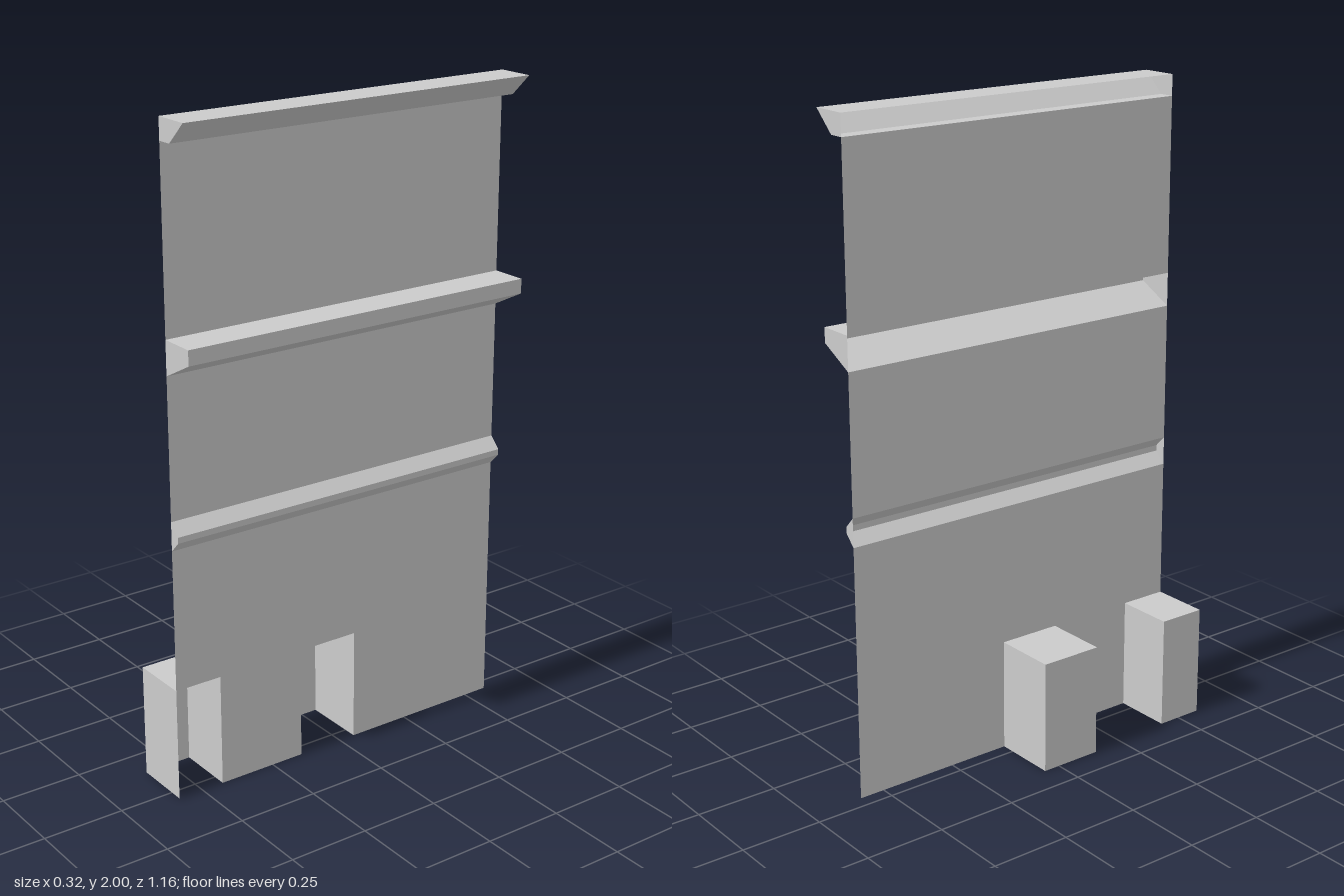
import * as THREE from 'three';

const material = new THREE.MeshStandardMaterial({ color: 0xcccccc, side: THREE.DoubleSide, flatShading: true });
const WALL_X = 0.042, HALF = 0.58, DOOR_TOP = 0.35;

function addMesh(parent, geometry, name) {
  const mesh = new THREE.Mesh(geometry, material);
  mesh.name = name;
  parent.add(mesh);
  return mesh;
}

// Open sheet: sweeps a downward [x, y] profile along z
function sheet(profile, z0, z1) {
  const pos = [];
  for (let i = 0; i < profile.length - 1; i++) {
    const [ax, ay] = profile[i], [bx, by] = profile[i + 1];
    pos.push(ax, ay, z0, ax, ay, z1, bx, by, z1);
    pos.push(ax, ay, z0, bx, by, z1, bx, by, z0);
  }
  const g = new THREE.BufferGeometry();
  g.setAttribute('position', new THREE.Float32BufferAttribute(pos, 3));
  g.computeVertexNormals();
  return g;
}

// Hollow ledge, open to the back, with a cap at each end
function ledge(name, profile) {
  const group = new THREE.Group();
  group.name = name;
  addMesh(group, sheet(profile, -HALF, HALF), name + 'Faces');
  const shape = new THREE.Shape(profile.map(([x, y]) => new THREE.Vector2(x, y)));
  for (const side of [1, -1]) {
    const cap = new THREE.ShapeGeometry(shape);
    if (side < 0) cap.rotateY(Math.PI).scale(-1, 1, 1).index.array.reverse();
    addMesh(group, cap.translate(0, 0, side * HALF), name + 'Cap');
  }
  return group;
}

// Doorway recess: back, two sides and ceiling, open to the front and below
function recess(name, backX, z0, z1) {
  const group = new THREE.Group();
  group.name = name;
  const depth = WALL_X - backX, midX = (WALL_X + backX) / 2;
  addMesh(group, sheet([[WALL_X, DOOR_TOP], [backX, DOOR_TOP], [backX, 0]], z0, z1), 'ceilingAndBack');
  for (const [z, turn] of [[z0, 0], [z1, Math.PI]]) {
    const side = new THREE.PlaneGeometry(depth, DOOR_TOP).rotateY(turn);
    addMesh(group, side.translate(midX, DOOR_TOP / 2, z), 'recessSide');
  }
  return group;
}

export function createModel() {
  const model = new THREE.Group();
  model.name = 'facade';

  const doors = [
    { name: 'middleDoorway', backX: -0.16, z0: -0.053, z1: 0.145 },
    { name: 'endDoorway', backX: -0.143, z0: 0.43, z1: HALF },
  ];
  const ledges = [
    { name: 'roofCornice', profile: [[WALL_X, 2], [0.158, 2], [0.09, 1.936], [WALL_X, 1.936]] },
    { name: 'upperLedge', profile: [[WALL_X, 1.4], [0.155, 1.4], [0.155, 1.355], [WALL_X, 1.297]] },
    { name: 'lowerMoulding', profile: [[WALL_X, 0.873], [0.076, 0.838], [0.076, 0.82], [WALL_X, 0.785]] },
  ];

  // Wall panels between the ledges
  for (let i = 0; i < ledges.length; i++) {
    const top = ledges[i].profile[3][1];
    const bottom = i < 2 ? ledges[i + 1].profile[0][1] : DOOR_TOP;
    addMesh(model, sheet([[WALL_X, top], [WALL_X, bottom]], -HALF, HALF), 'wallPanel');
    model.add(ledge(ledges[i].name, ledges[i].profile));
  }

  // Ground floor piers beside the doorways
  let start = -HALF;
  for (const { name, backX, z0, z1 } of doors) {
    addMesh(model, sheet([[WALL_X, DOOR_TOP], [WALL_X, 0]], start, z0), 'groundPier');
    model.add(recess(name, backX, z0, z1));
    start = z1;
  }
  return model;
}
